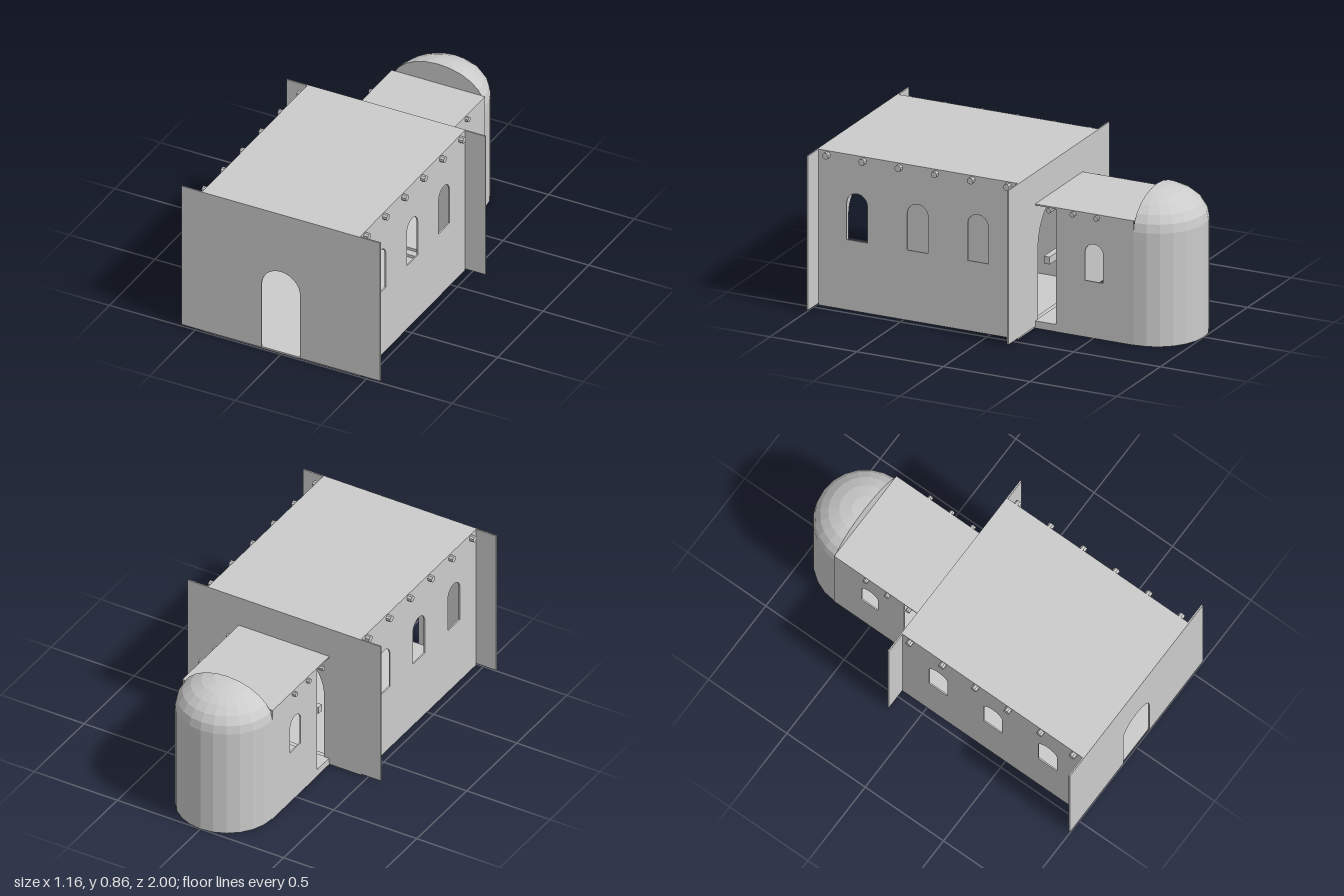
import * as THREE from 'three';

const T = 0.008; // wall thickness

export function createModel() {
  const group = new THREE.Group();
  const grey = new THREE.MeshStandardMaterial({ color: 0xcccccc, flatShading: true, side: THREE.DoubleSide });
  const wood = new THREE.MeshStandardMaterial({ color: 0x6b4a2f, flatShading: true });
  const skin = new THREE.MeshStandardMaterial({ color: 0xb98d62, flatShading: true });

  const add = (name, geo, x = 0, y = 0, z = 0, mat = grey, parent = group) => {
    const m = new THREE.Mesh(geo, mat);
    m.name = name;
    m.position.set(x, y, z);
    parent.add(m);
    return m;
  };
  // Box given by its limits
  const slab = (name, x0, x1, y0, y1, z0, z1, mat = grey, parent = group) =>
    add(name, new THREE.BoxGeometry(x1 - x0, y1 - y0, z1 - z0),
      (x0 + x1) / 2, (y0 + y1) / 2, (z0 + z1) / 2, mat, parent);
  const extrude = (shape) => new THREE.ExtrudeGeometry(shape, { depth: T, bevelEnabled: false, curveSegments: 12 });

  // Cross wall with an arched doorway down to its foot
  const crossWall = (name, z, half, spring) => {
    const s = new THREE.Shape();
    s.moveTo(-0.58, 0.01);
    s.lineTo(-half, 0.01);
    s.lineTo(-half, spring);
    s.absarc(0, spring, half, Math.PI, 0, true);
    s.lineTo(half, 0.01);
    s.lineTo(0.58, 0.01);
    s.lineTo(0.58, 0.855);
    s.lineTo(-0.58, 0.855);
    add(name, extrude(s), 0, 0, z);
  };
  crossWall('frontWall', 1 - T, 0.113, 0.392);
  crossWall('chancelArchWall', -0.16 - T / 2, 0.24, 0.43);

  // Pair of side walls with arched windows
  const sideWalls = (name, x, z0, z1, top, centres, half, sill, spring) => {
    const s = new THREE.Shape();
    s.moveTo(-z1, 0);
    s.lineTo(-z0, 0);
    s.lineTo(-z0, top);
    s.lineTo(-z1, top);
    for (const c of centres) {
      const h = new THREE.Path();
      h.moveTo(-c - half, sill);
      h.lineTo(-c + half, sill);
      h.lineTo(-c + half, spring);
      h.absarc(-c, spring, half, 0, Math.PI, false);
      h.lineTo(-c - half, sill);
      s.holes.push(h);
    }
    const geo = extrude(s).rotateY(Math.PI / 2);
    add(name + 'Left', geo, x - T);
    add(name + 'Right', geo, -x);
  };
  sideWalls('naveWall', 0.46, -0.16, 1 - T, 0.855, [0.77, 0.42, 0.072], 0.06, 0.385, 0.585);
  sideWalls('chancelWall', 0.272, -0.73, -0.285, 0.68, [-0.503], 0.053, 0.31, 0.462);

  // Floors, step and flat roofs
  slab('naveFloor', -0.46, 0.46, 0, 0.01, -0.16, 1 - T);
  slab('chancelStep', -0.24, 0.24, 0.01, 0.025, -0.16, -0.12);
  slab('chancelFloor', -0.27, 0.27, 0, 0.04, -0.73, -0.16);
  slab('naveRoof', -0.46, 0.46, 0.847, 0.855, -0.16, 1 - T);
  slab('chancelRoof', -0.272, 0.272, 0.674, 0.682, -0.73, -0.16);

  // Roof beams poking through the side walls
  const beams = (name, zs, y, r, length) => {
    const geo = new THREE.CylinderGeometry(r, r, length, 8).rotateX(0).rotateY(Math.PI / 8).rotateZ(Math.PI / 2);
    for (const z of zs) add(name, geo, 0, y, z);
  };
  beams('naveBeam', [0.94, 0.732, 0.523, 0.315, 0.106, -0.103], 0.832, 0.018, 0.97);
  beams('chancelBeam', [-0.25, -0.385, -0.522], 0.664, 0.014, 0.582);

  // Apse: half-round wall, floor, half dome and gable face
  const R = 0.27, Z = -0.73;
  add('apseWall', new THREE.CylinderGeometry(R, R, 0.62, 12, 1, true, Math.PI / 2, Math.PI), 0, 0.31, Z);
  add('apseFloor', new THREE.CylinderGeometry(R - 0.001, R - 0.001, 0.04, 12, 1, false, Math.PI / 2, Math.PI), 0, 0.02, Z);
  const dome = new THREE.SphereGeometry(R, 12, 6, 0, Math.PI, 0, Math.PI / 2).rotateY(Math.PI);
  add('apseDome', dome, 0, 0.62, Z).scale.y = 0.18 / R;
  add('apseGable', new THREE.CircleGeometry(R, 12, 0, Math.PI), 0, 0.62, Z).scale.y = 0.18 / R;

  // Beam across the chancel arch with a crucifix standing on it
  slab('roodBeam', -0.25, 0.25, 0.355, 0.395, -0.236, -0.202);
  const cross = new THREE.Group();
  cross.name = 'crucifix';
  group.add(cross);
  slab('crossPost', -0.009, 0.009, 0.395, 0.582, -0.228, -0.216, wood, cross);
  slab('crossArm', -0.065, 0.065, 0.525, 0.542, -0.228, -0.216, wood, cross);
  add('figureLegs', new THREE.CylinderGeometry(0.01, 0.005, 0.06, 8), 0, 0.435, -0.209, skin, cross);
  add('figureCloth', new THREE.CylinderGeometry(0.012, 0.015, 0.025, 8), 0, 0.473, -0.209, grey, cross);
  add('figureTorso', new THREE.CylinderGeometry(0.014, 0.01, 0.045, 8), 0, 0.508, -0.209, skin, cross);
  add('figureHead', new THREE.SphereGeometry(0.01, 8, 6), 0, 0.545, -0.208, skin, cross);
  add('figureArms', new THREE.CylinderGeometry(0.004, 0.004, 0.11, 6).rotateZ(Math.PI / 2), 0, 0.53, -0.211, skin, cross);

  // Ring chandelier hanging in the nave
  const lamp = new THREE.Group();
  lamp.name = 'chandelier';
  lamp.position.set(0, 0.56, 0.42);
  group.add(lamp);
  add('lampRing', new THREE.TorusGeometry(0.09, 0.005, 6, 24).rotateX(Math.PI / 2), 0, 0, 0, wood, lamp);
  add('lampRod', new THREE.CylinderGeometry(0.002, 0.002, 0.21, 5), 0, 0.185, 0, wood, lamp);
  for (let i = 0; i < 8; i++) {
    const a = (i + 0.5) * Math.PI / 4, x = 0.09 * Math.cos(a), z = 0.09 * Math.sin(a);
    add('candle', new THREE.CylinderGeometry(0.004, 0.004, 0.03, 6), x, 0.018, z, grey, lamp);
    if (i % 2) continue;
    const chain = new THREE.LineCurve3(new THREE.Vector3(x, 0, z), new THREE.Vector3(0, 0.08, 0));
    add('lampChain', new THREE.TubeGeometry(chain, 1, 0.0015, 4), 0, 0, 0, wood, lamp);
  }
  return group;
}
